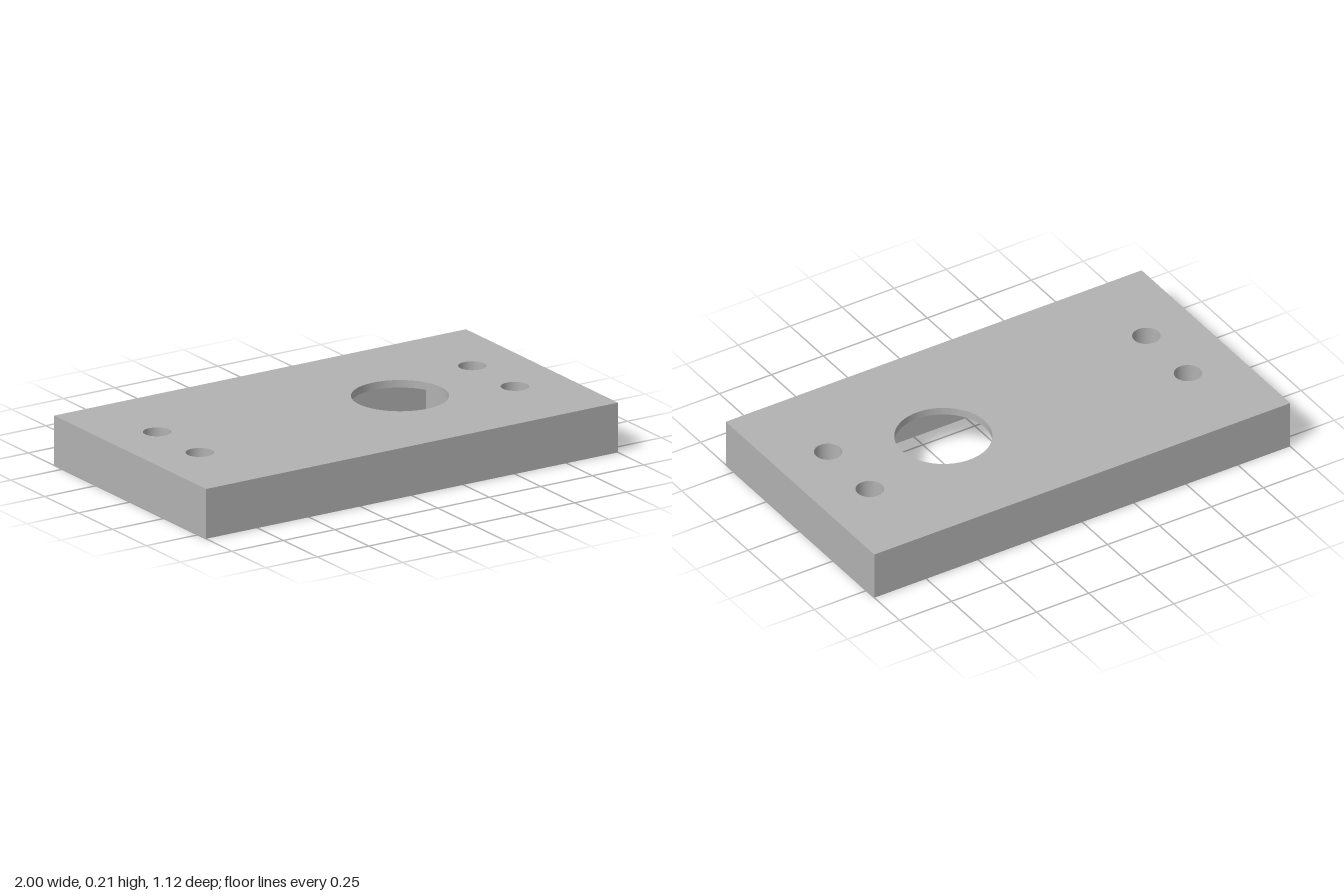
import * as THREE from 'three';

const HX = 1, HZ = 0.56, H = 0.213;          // block half sizes and height
const PX = 0.645, PZ = 0.316, PY = 0.181;    // pocket half sizes and ceiling height
const BORE = { x: 0.311, z: 0, r: 0.199 };
const BOLTS = [];
for (const x of [-0.765, 0.765]) for (const z of [-0.157, 0.157]) BOLTS.push({ x, z, r: 0.0575 });
const SEG = 64;

function rectPoints(hx, hz) {
  return [[-hx, -hz], [hx, -hz], [hx, hz], [-hx, hz]].map(([x, y]) => new THREE.Vector2(x, y));
}

// Flat horizontal face with openings, facing up (dir 1) or down (dir -1)
function face(hx, hz, y, dir, holes, pocket) {
  const shape = new THREE.Shape(rectPoints(hx, hz));
  for (const h of holes) shape.holes.push(new THREE.Path().absarc(h.x, h.z, h.r, 0, Math.PI * 2, true));
  if (pocket) shape.holes.push(new THREE.Path(rectPoints(PX, PZ).reverse()));
  return new THREE.ShapeGeometry(shape, SEG).rotateX(-dir * Math.PI / 2).translate(0, y, 0);
}

// Round hole lining, facing inward
function lining(h, y0, y1) {
  const profile = [new THREE.Vector2(h.r, y1), new THREE.Vector2(h.r, y0)];
  return new THREE.LatheGeometry(profile, SEG).rotateY(Math.PI / 2).translate(h.x, 0, h.z);
}

export function createModel() {
  const group = new THREE.Group();
  const grey = new THREE.MeshStandardMaterial({ color: 0xb2b2b2 });
  grey.name = 'grey';
  const add = (name, geometry) => {
    const mesh = new THREE.Mesh(geometry, grey);
    mesh.name = name;
    group.add(mesh);
  };

  // Four upright walls, facing outward (dir 1) or inward (dir -1)
  const walls = (name, hx, hz, height, dir) => {
    for (let k = 0; k < 4; k++) {
      const [half, dist] = k % 2 ? [hz, hx] : [hx, hz];
      add(name, new THREE.PlaneGeometry(half * 2, height)
        .translate(0, height / 2, dir * dist).rotateY(k * Math.PI / 2));
    }
  };

  // Block skin
  add('topFace', face(HX, HZ, H, 1, [...BOLTS, BORE], false));
  add('bottomRim', face(HX, HZ, 0, -1, BOLTS, true));
  walls('outerWall', HX, HZ, H, 1);

  // Pocket cut into the underside
  add('pocketCeiling', face(PX, PZ, PY, -1, [BORE], false));
  walls('pocketWall', PX, PZ, PY, -1);

  // Through holes
  add('boreLining', lining(BORE, PY, H));
  for (const bolt of BOLTS) add('boltHoleLining', lining(bolt, 0, H));
  return group;
}
